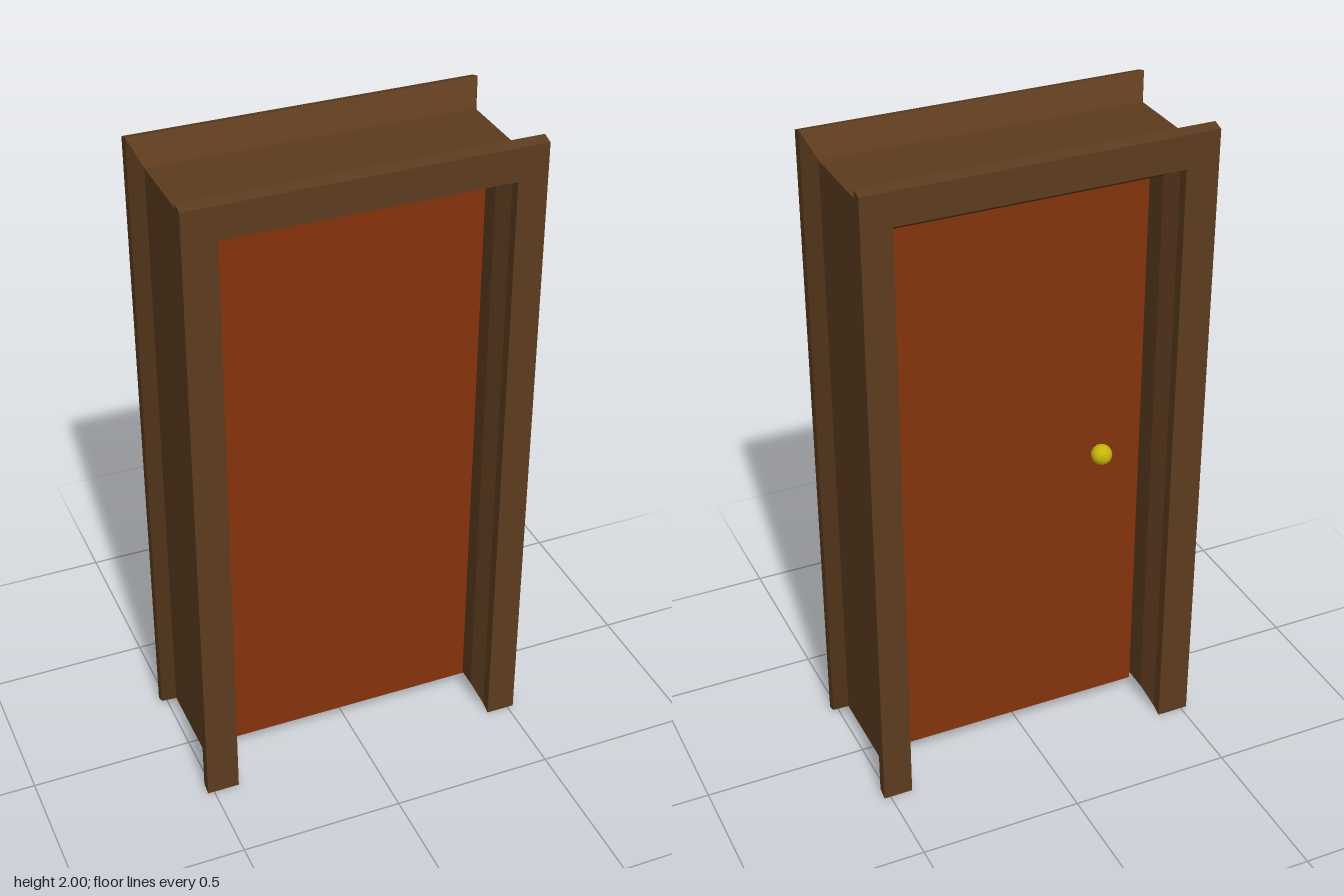
import * as THREE from 'three';

// Upside-down-U outline of the door frame, counter-clockwise seen from the front
function frameOutline({ outer, innerL, innerR, top, innerTop, bottom }) {
  return [
    [-outer, bottom], [-innerL, bottom], [-innerL, innerTop], [innerR, innerTop],
    [innerR, bottom], [outer, bottom], [outer, top], [-outer, top],
  ].map(([x, y]) => new THREE.Vector2(x, y));
}

// Joins the outlines from front to back and caps both ends
function loftOutlines(stations) {
  const loops = stations.map(frameOutline);
  const n = loops[0].length;
  const positions = [], index = [];
  loops.forEach((loop, s) => loop.forEach((p) => positions.push(p.x, p.y, stations[s].z)));
  for (let s = 0; s < loops.length - 1; s++) {
    for (let i = 0; i < n; i++) {
      const j = (i + 1) % n;
      const a = s * n + i, b = s * n + j, c = a + n, d = b + n;
      index.push(a, c, d, a, d, b);
    }
  }
  const back = (loops.length - 1) * n;
  for (const [a, b, c] of THREE.ShapeUtils.triangulateShape(loops[0], [])) {
    index.push(a, b, c, back + a, back + c, back + b);
  }
  const indexed = new THREE.BufferGeometry();
  indexed.setAttribute('position', new THREE.Float32BufferAttribute(positions, 3));
  indexed.setIndex(index);
  const geometry = indexed.toNonIndexed();
  geometry.computeVertexNormals();
  return geometry;
}

export function createModel() {
  const model = new THREE.Group();
  model.name = 'doorway';

  const add = (name, geometry, color, x = 0, y = 0, z = 0) => {
    const material = new THREE.MeshStandardMaterial({ color, flatShading: true });
    const mesh = new THREE.Mesh(geometry, material);
    mesh.name = name;
    mesh.position.set(x, y, z);
    model.add(mesh);
  };

  // Frame: flared trim at the front, narrower jamb, mirrored trim at the back
  const half = [
    { z: 0.237, outer: 0.52, innerL: 0.42, innerR: 0.43, top: 1.99, innerTop: 1.89, bottom: 0 },
    { z: 0.204, outer: 0.52, innerL: 0.42, innerR: 0.43, top: 2.0, innerTop: 1.89, bottom: 0.013 },
    { z: 0.148, outer: 0.488, innerL: 0.4, innerR: 0.41, top: 1.93, innerTop: 1.84, bottom: 0.06 },
  ];
  const mirrored = half.map((s) => ({ ...s, z: -s.z })).reverse();
  add('frame', loftOutlines([...half, ...mirrored]), 0x5c3b1e);

  // Door slab, with a narrow gap on its right edge
  add('door', new THREE.BoxGeometry(0.802, 1.787, 0.176), 0x85330d, 0.011, 0.9485, 0);

  // Round knob on the back face
  add('knob', new THREE.IcosahedronGeometry(0.032, 2), 0xc8b40a, -0.25, 0.96, -0.117);

  return model;
}
